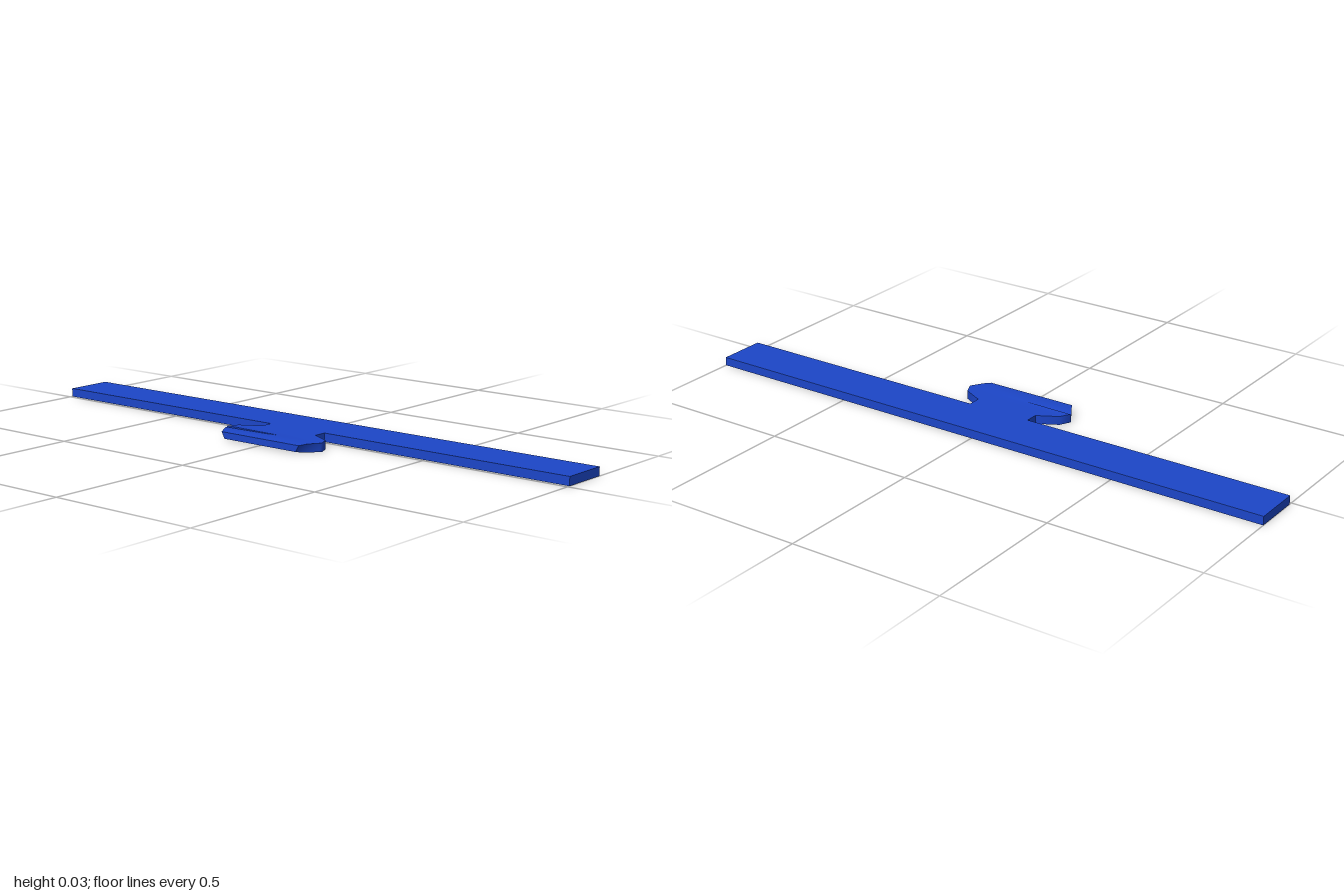
import * as THREE from 'three';
import { toCreasedNormals } from 'three/addons/utils/BufferGeometryUtils.js';

// Lofts five-sided sections along z: top left, top ridge, top right, bottom right, bottom left
function loft(stations) {
  const rings = stations.map(([z, left, right, bottom, top, notch = 0, inset = 0]) => [
    [left, top - notch, z], [0.03, top, z], [right, top, z],
    [right - inset, bottom, z], [left + inset, bottom, z],
  ]);
  const positions = [];
  const tri = (...corners) => corners.forEach((p) => positions.push(...p));
  for (let s = 0; s < rings.length - 1; s++) {
    for (let k = 0; k < 5; k++) {
      const n = (k + 1) % 5;
      const a = rings[s][k], b = rings[s][n], c = rings[s + 1][n], d = rings[s + 1][k];
      tri(a, d, c);
      tri(a, c, b);
    }
  }
  const first = rings[0], last = rings[rings.length - 1];
  for (let k = 1; k < 4; k++) {
    tri(first[0], first[k], first[k + 1]);
    tri(last[0], last[k + 1], last[k]);
  }
  const geometry = new THREE.BufferGeometry();
  geometry.setAttribute('position', new THREE.Float32BufferAttribute(positions, 3));
  return toCreasedNormals(geometry, 0.95);
}

function makeMaterial(name, color) {
  const material = new THREE.MeshStandardMaterial({ color });
  material.name = name;
  return material;
}

export function createModel() {
  const group = new THREE.Group();
  group.name = 'flatBarWithTab';
  const blue = makeMaterial('blue', 0x1c46c8);
  const slateBlue = makeMaterial('slateBlue', 0x3355c0);

  // Long flat bar along the back, with a greyer underside
  const bar = new THREE.Mesh(
    new THREE.BoxGeometry(2, 0.028, 0.158),
    [blue, blue, blue, slateBlue, blue, blue],
  );
  bar.name = 'bar';
  bar.position.set(0, 0.014, -0.089);
  group.add(bar);

  // Neck flaring into a head, with a fine crease on its right and a tapered front lip
  const tab = new THREE.Mesh(loft([
    [-0.01, -0.1, 0.117, 0, 0.028],
    [0.033, -0.1, 0.117, 0, 0.028],
    [0.04, -0.115, 0.133, 0, 0.028],
    [0.068, -0.166, 0.185, 0, 0.028],
    [0.101, -0.183, 0.2, 0, 0.028],
    [0.105, -0.184, 0.2, 0, 0.028, 0.008],
    [0.11, -0.182, 0.198, 0, 0.028, 0.002, 0.004],
    [0.145, -0.16, 0.176, 0, 0.028, 0.002, 0.012],
    [0.168, -0.147, 0.163, 0.004, 0.025, 0, 0.012],
  ]), blue);
  tab.name = 'tab';
  group.add(tab);
  return group;
}
